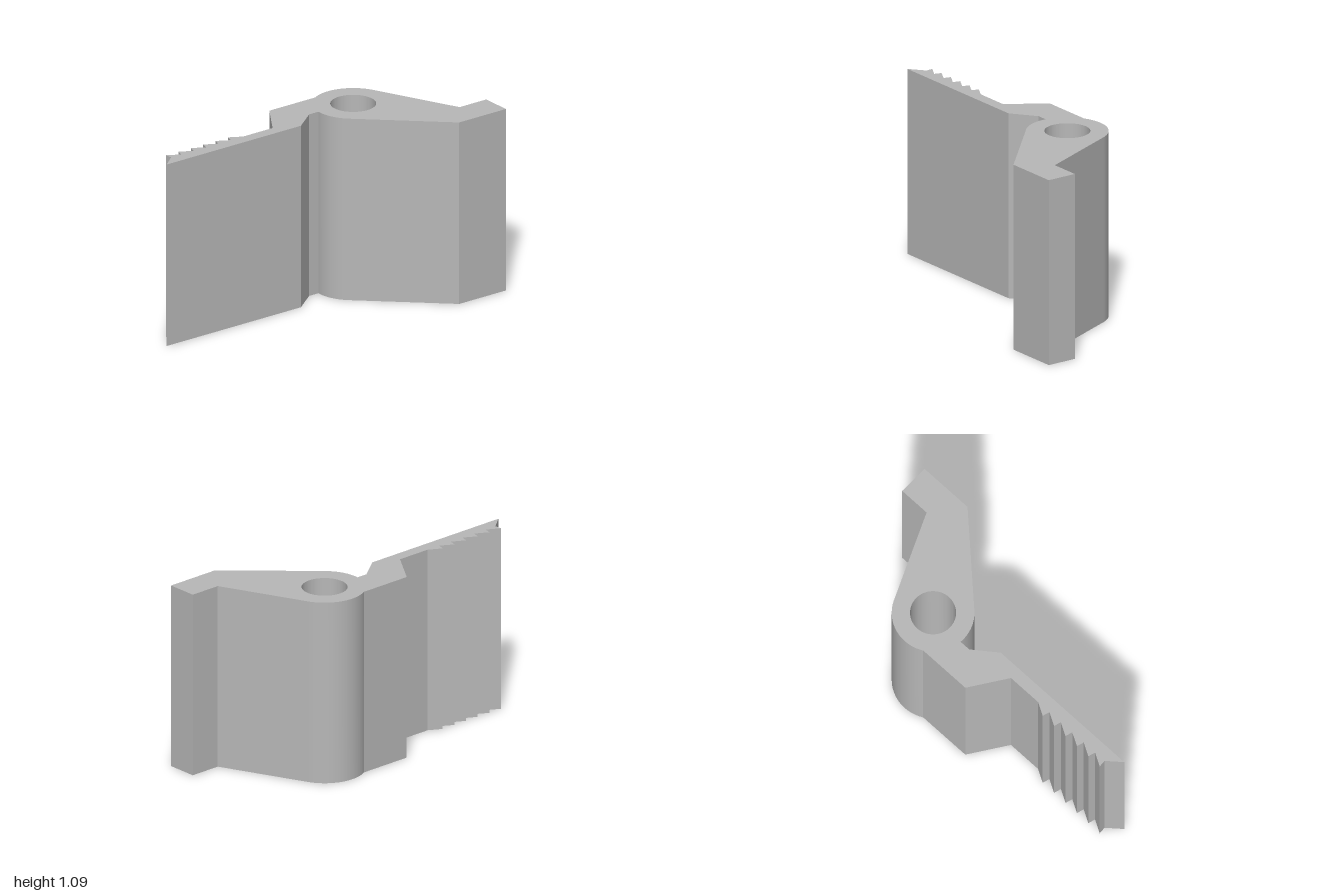
import * as THREE from 'three';
import { toCreasedNormals } from 'three/addons/utils/BufferGeometryUtils.js';

const HEIGHT = 1.087;
const HUB = { x: -0.18, z: -0.38, radius: 0.23, bore: 0.128 };

export function createModel() {
  const group = new THREE.Group();
  group.name = 'hingeClip';
  const grey = new THREE.MeshStandardMaterial({ color: 0xb8b8b8 });
  grey.name = 'plain grey';

  // Plan outline: shape y is -z, so the extrusion can be stood upright
  const shape = new THREE.Shape();
  const line = (...points) => points.forEach(([x, z]) => shape.lineTo(x, -z));
  const hubArc = (from, to) => shape.absarc(
    HUB.x, -HUB.z, HUB.radius,
    THREE.MathUtils.degToRad(from), THREE.MathUtils.degToRad(to), true);

  // Lever end, then the front of the hub
  shape.moveTo(0.227, 1);
  line([0.407, -1], [0.407, -0.67]);
  hubArc(-43.3, -95);

  // Neck and flat outer face of the blade
  line([-0.2, -0.085], [-0.094, 0.055], [-0.094, 1], [-0.164, 0.915]);

  // Saw teeth, from the tip of the blade back towards the neck
  const teeth = 6, pitch = 0.0872;
  for (let i = 0; i < teeth; i++) {
    const tip = 0.918 - i * pitch;
    line([-0.206, tip], [-0.164, tip - 0.075]);
    if (i < teeth - 1) line([-0.164, tip - 0.075]);
  }

  // Back of the neck, then round the rear of the hub to the lever
  line([-0.164, 0.2], [-0.38, 0.055]);
  hubArc(-150.5, -246.4);
  line([0.227, -0.813]);
  shape.closePath();

  // Pin bore
  const bore = new THREE.Path();
  bore.absarc(HUB.x, -HUB.z, HUB.bore, 0, Math.PI * 2, false);
  shape.holes.push(bore);

  const extruded = new THREE.ExtrudeGeometry(shape, {
    depth: HEIGHT, bevelEnabled: false, curveSegments: 40,
  });
  extruded.rotateX(-Math.PI / 2);
  extruded.clearGroups();

  const body = new THREE.Mesh(toCreasedNormals(extruded, 0.3), grey);
  body.name = 'clipBody';
  group.add(body);
  return group;
}
